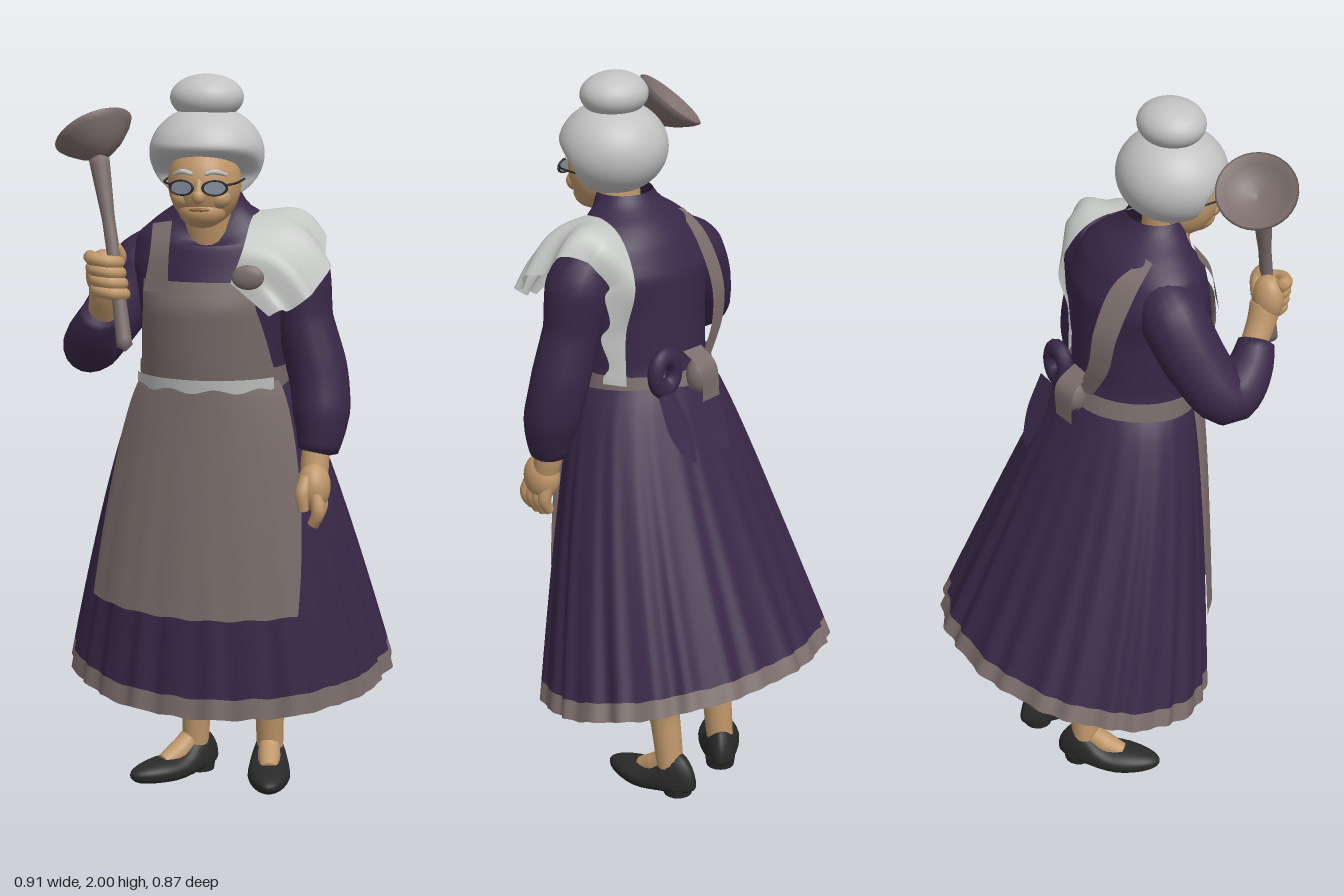
import * as THREE from 'three';
import { mergeVertices } from 'three/addons/utils/BufferGeometryUtils.js';

const V = (p) => new THREE.Vector3(...p);
const { lerp, smoothstep } = THREE.MathUtils;
const TAU = Math.PI * 2;

export function createModel() {
  const root = new THREE.Group();
  root.name = 'oldLadyWithLadle';
  const paint = (name, color, side = THREE.FrontSide) => {
    const m = new THREE.MeshStandardMaterial({ color, side });
    m.name = name;
    return m;
  };
  const purple = paint('purpleDress', 0x392848, THREE.DoubleSide);
  const taupe = paint('taupeCloth', 0x7c6e6c, THREE.DoubleSide);
  const white = paint('paleFrill', 0xc4c6c4, THREE.DoubleSide);
  const skin = paint('skin', 0xbf976a);
  const hairGrey = paint('greyHair', 0xc2c2c2);
  const black = paint('blackLeather', 0x2a2a2a);
  const lens = paint('lens', 0x828e9a, THREE.DoubleSide);
  const lip = paint('lip', 0x8f6648);

  const add = (name, geo, mat, parent = root) => {
    const m = new THREE.Mesh(geo, mat);
    m.name = name;
    parent.add(m);
    return m;
  };
  const smooth = (geo) => {
    geo.deleteAttribute('uv');
    geo.deleteAttribute('normal');
    const g = mergeVertices(geo, 1e-5);
    g.computeVertexNormals();
    return g;
  };
  // Ellipsoid
  const blob = (name, pos, size, mat, parent = root) => {
    const m = add(name, new THREE.SphereGeometry(1, 28, 20), mat, parent);
    m.position.set(...pos);
    m.scale.set(...size);
    return m;
  };
  // Surface from a rule (u, v) -> [x, y, z]
  const surf = (name, fn, nu, nv, mat) => {
    const pos = [], idx = [];
    for (let j = 0; j <= nv; j++) for (let i = 0; i <= nu; i++) pos.push(...fn(i / nu, j / nv));
    for (let j = 0; j < nv; j++) for (let i = 0; i < nu; i++) {
      const a = j * (nu + 1) + i, b = a + nu + 1;
      idx.push(a, b, a + 1, a + 1, b, b + 1);
    }
    const g = new THREE.BufferGeometry();
    g.setAttribute('position', new THREE.Float32BufferAttribute(pos, 3));
    g.setIndex(idx);
    return add(name, smooth(g), mat);
  };
  // Tube along points with a radius at each point and closed ends
  const limb = (name, pts, radii, mat, parent = root, sides = 18) => {
    const n = 32, curve = new THREE.CatmullRomCurve3(pts.map(V));
    const g = new THREE.TubeGeometry(curve, n, 1, sides), p = g.attributes.position, q = new THREE.Vector3();
    for (let i = 0; i <= n; i++) {
      const c = curve.getPointAt(i / n), f = (i / n) * (radii.length - 1);
      const k = Math.min(Math.floor(f), radii.length - 2);
      const r = lerp(radii[k], radii[k + 1], f - k) * (i === 0 || i === n ? 0.02 : 1);
      for (let j = 0; j <= sides; j++) {
        const o = i * (sides + 1) + j;
        q.fromBufferAttribute(p, o).sub(c).multiplyScalar(r).add(c);
        p.setXYZ(o, q.x, q.y, q.z);
      }
    }
    return add(name, smooth(g), mat, parent);
  };
  // Cloth strip between two edges, with an arched middle and optional ruffles
  const ribbon = (name, inner, outer, mat, bulge = 0, ruffle = 0) => {
    const a = new THREE.CatmullRomCurve3(inner.map(V)), b = new THREE.CatmullRomCurve3(outer.map(V));
    return surf(name, (u, v) => {
      const p = a.getPoint(v).lerp(b.getPoint(v), u);
      const s = Math.sin(u * Math.PI) * bulge * Math.sin(Math.PI * Math.min(1, v * 1.4));
      const w = u * ruffle * Math.sin(v * 46);
      return [p.x + s * 0.5 + w, p.y + s + w, p.z + w * 0.6];
    }, 10, 60, mat);
  };

  // Skirt: pleated, long at the front and raised at the back
  const skirt = (t, a, amp, off = 0) => {
    const rx = 0.19 + 0.26 * t ** 0.75 + off, zf = 0.262 + off, zb = lerp(-0.08, -0.43, t) - off;
    const rz = (zf - zb) / 2, cz = (zf + zb) / 2;
    const k = 1 + amp * t * (Math.cos(25 * a) + 0.5 * Math.cos(11 * a + 1) + 0.4 * Math.cos(38 * a));
    return [-0.01 * (1 - t) + Math.sin(a) * rx * k,
      1.2 - 0.85 * t - 0.22 * t * rz * Math.cos(a) + 0.004 * t * Math.cos(25 * a), cz + Math.cos(a) * rz * k];
  };
  surf('skirt', (u, v) => skirt(v * 0.94, u * TAU, 0.016), 240, 24, purple);
  surf('hemTrim', (u, v) => skirt(0.94 + v * 0.06, u * TAU, 0.016), 240, 2, taupe);
  surf('apronSkirt', (u, v) => skirt(v * 0.7,
    lerp(lerp(-1.15, -1.0, v), lerp(1.0, 0.6, v), u), 0.006, 0.02), 40, 24, taupe);

  // Bodice: stacked ellipses [y, centre z, half width, half depth]
  const rows = [[1.16, 0.095, 0.19, 0.175], [1.25, 0.115, 0.188, 0.172], [1.4, 0.13, 0.2, 0.18], [1.5, 0.12, 0.225, 0.165],
    [1.58, 0.13, 0.2, 0.14], [1.63, 0.14, 0.14, 0.112], [1.66, 0.16, 0.095, 0.085], [1.69, 0.17, 0.08, 0.075]];
  const torso = (y, a, off = 0) => {
    let k = 0;
    while (k < rows.length - 2 && y > rows[k + 1][0]) k++;
    const A = rows[k], B = rows[k + 1], f = (y - A[0]) / (B[0] - A[0]);
    const [cz, rx, rz] = [1, 2, 3].map((i) => lerp(A[i], B[i], f));
    // neckline opens in a V at the front
    const dip = Math.max(0, y - 1.56) * Math.max(0, Math.cos(a)) ** 4;
    return [-0.015 + Math.sin(a) * (rx + off), y - dip, cz + Math.cos(a) * (rz + off)];
  };
  surf('bodice', (u, v) => torso(lerp(1.69, 1.16, v), u * TAU), 48, 30, purple);
  surf('apronBib', (u, v) => torso(lerp(1.47, 1.2, v),
    lerp(lerp(-0.82, -1.25, v), lerp(0.53, 1.1, v), u), 0.012), 30, 14, taupe);
  surf('waistTie', (u, v) => torso(lerp(1.235, 1.175, v), lerp(0.9, 5.1, u), 0.012), 40, 3, taupe);
  surf('waistBand', (u, v) => torso(lerp(1.212, 1.18 + 0.006 * Math.sin(u * 23), v),
    lerp(-1.2, 0.95, u), 0.024), 40, 3, white);
  ribbon('apronStrapFront',
    [[-0.11, 1.44, 0.3], [-0.11, 1.54, 0.28], [-0.11, 1.62, 0.225]],
    [[-0.18, 1.44, 0.265], [-0.165, 1.54, 0.25], [-0.165, 1.61, 0.205]], taupe);
  ribbon('apronStrapBack',
    [[-0.12, 1.63, 0.07], [-0.1, 1.57, -0.015], [-0.1, 1.45, -0.075], [-0.09, 1.35, -0.085], [-0.04, 1.24, -0.085]],
    [[-0.145, 1.625, 0.075], [-0.165, 1.57, 0.015], [-0.17, 1.45, -0.05], [-0.155, 1.35, -0.065], [-0.09, 1.24, -0.075]], taupe);
  ribbon('shoulderFrill',
    [[0.055, 1.47, 0.305], [0.085, 1.55, 0.305], [0.1, 1.635, 0.19], [0.125, 1.62, 0.05], [0.145, 1.5, -0.03], [0.15, 1.36, 0.0], [0.15, 1.21, 0.0]],
    [[0.16, 1.39, 0.335], [0.25, 1.43, 0.31], [0.3, 1.51, 0.2], [0.25, 1.58, 0.07], [0.2, 1.5, 0.02], [0.2, 1.36, 0.03], [0.185, 1.21, 0.04]],
    white, 0.036, 0.009);
  blob('frillKnot', [0.105, 1.49, 0.335], [0.042, 0.032, 0.015], taupe);

  // Bow at the back of the waist
  blob('bowKnot', [-0.03, 1.22, -0.095], [0.035, 0.05, 0.035], taupe);
  const loop = add('bowLoop', new THREE.TorusGeometry(0.036, 0.022, 12, 24), purple);
  loop.position.set(0.08, 1.25, -0.075);
  loop.scale.set(1, 1.25, 1);
  ribbon('bowTailTaupe', [[-0.065, 1.29, -0.07], [-0.07, 1.25, -0.12], [-0.075, 1.16, -0.13]],
    [[0.005, 1.29, -0.07], [0, 1.25, -0.13], [-0.005, 1.16, -0.135]], taupe);
  for (const x of [-0.03, 0.1]) ribbon('bowTail', [[x - 0.03, 1.2, -0.1], [x - 0.05, 1.1, -0.145], [x - 0.03, 1.02, -0.185]],
    [[x + 0.03, 1.2, -0.1], [x + 0.03, 1.1, -0.145], [x, 1.03, -0.18]], purple);

  // Sleeves
  limb('rightSleeve', [[-0.11, 1.55, 0.11], [-0.19, 1.5, 0.1], [-0.28, 1.365, 0.135], [-0.335, 1.28, 0.19], [-0.315, 1.33, 0.27], [-0.28, 1.4, 0.32]],
    [0.06, 0.09, 0.086, 0.078, 0.067, 0.045], purple);
  limb('leftSleeve', [[0.12, 1.56, 0.11], [0.19, 1.51, 0.12], [0.228, 1.35, 0.13], [0.268, 1.2, 0.14], [0.278, 1.08, 0.165], [0.268, 0.99, 0.18]],
    [0.06, 0.09, 0.077, 0.08, 0.077, 0.05], purple);

  // Left hand, hanging
  limb('leftWrist', [[0.268, 1.03, 0.18], [0.265, 0.98, 0.19], [0.265, 0.92, 0.205]], [0.037, 0.038, 0.035], skin);
  blob('leftPalm', [0.265, 0.92, 0.215], [0.045, 0.065, 0.055], skin);
  for (let i = 0; i < 4; i++) limb('leftFinger', [[0.272, 0.91, 0.25 - i * 0.023], [0.282, 0.86, 0.26 - i * 0.024], [0.265, 0.81 + Math.abs(i - 1.5) * 0.008, 0.252 - i * 0.022]],
    [0.018, 0.019, 0.014], skin, root, 10);
  limb('leftThumb', [[0.25, 0.95, 0.24], [0.24, 0.91, 0.265], [0.244, 0.86, 0.268]], [0.02, 0.019, 0.014], skin, root, 10);

  // Right hand, gripping the ladle
  limb('rightWrist', [[-0.285, 1.37, 0.3], [-0.272, 1.43, 0.335], [-0.262, 1.48, 0.355]], [0.035, 0.038, 0.042], skin);
  blob('rightPalm', [-0.265, 1.495, 0.358], [0.048, 0.065, 0.04], skin);
  for (let i = 0; i < 4; i++) {
    const y = 1.452 + i * 0.027, x = -0.25 - i * 0.005;
    limb('rightFinger', [[x - 0.035, y + 0.008, 0.368], [x - 0.02, y + 0.006, 0.4], [x + 0.018, y, 0.408], [x + 0.042, y - 0.004, 0.385], [x + 0.02, y - 0.006, 0.36]],
      [0.018, 0.018, 0.018, 0.017, 0.014], skin, root, 10);
  }
  limb('rightThumb', [[-0.25, 1.5, 0.34], [-0.225, 1.54, 0.35], [-0.232, 1.57, 0.365]], [0.022, 0.018, 0.013], skin, root, 10);

  // Ladle: handle and shallow tilted bowl
  limb('ladleHandle', [[-0.198, 1.305, 0.425], [-0.203, 1.33, 0.417], [-0.238, 1.55, 0.37], [-0.287, 1.8, 0.31]], [0.021, 0.018, 0.017, 0.028], taupe);
  const bowlProfile = [[0.001, -0.07], [0.03, -0.066], [0.065, -0.042], [0.095, -0.012], [0.106, 0.004], [0.1, 0.008], [0.08, -0.01], [0.045, -0.03], [0.001, -0.04]];
  const bowl = add('ladleBowl', new THREE.LatheGeometry(bowlProfile.map((p) => new THREE.Vector2(...p)), 36), taupe);
  bowl.position.set(-0.304, 1.85, 0.28);
  bowl.quaternion.setFromUnitVectors(V([0, 1, 0]), V([-0.45, 0.77, -0.42]).normalize());

  // Head
  const head = new THREE.Group();
  head.name = 'head';
  root.add(head);
  limb('neck', [[-0.018, 1.5, 0.17], [-0.018, 1.6, 0.195], [-0.018, 1.7, 0.21]], [0.065, 0.065, 0.068], skin, head);
  blob('face', [-0.02, 1.725, 0.248], [0.095, 0.115, 0.105], skin, head);
  blob('jaw', [-0.02, 1.655, 0.285], [0.062, 0.045, 0.058], skin, head);
  blob('nose', [-0.02, 1.697, 0.352], [0.017, 0.02, 0.018], skin, head);
  limb('noseBridge', [[-0.02, 1.745, 0.34], [-0.02, 1.72, 0.35], [-0.02, 1.697, 0.356]], [0.01, 0.011, 0.013], skin, head, 10);
  blob('mouth', [-0.02, 1.662, 0.338], [0.027, 0.005, 0.008], lip, head);
  const hairGeo = new THREE.SphereGeometry(1, 48, 48);
  const hp = hairGeo.attributes.position;
  for (let i = 0; i < hp.count; i++) {
    // sweep the hair back from the face along a slanting hairline
    const x = hp.getX(i), z = hp.getZ(i), f = 1 - smoothstep(hp.getY(i), -0.5, 0.24);
    if (z > 0) hp.setZ(i, z * (1 - (1 - 0.12 * Math.abs(x)) * f));
  }
  const hair = add('hair', smooth(hairGeo), hairGrey, head);
  hair.position.set(-0.02, 1.795, 0.215);
  hair.scale.set(0.15, 0.125, 0.147);
  blob('hairBun', [-0.02, 1.94, 0.21], [0.096, 0.06, 0.088], hairGrey, head);

  // Cheeks, brows and spectacles, mirrored
  for (const s of [-1, 1]) {
    const x = (d) => -0.02 + s * d;
    blob('cheek', [x(0.045), 1.69, 0.308], [0.032, 0.028, 0.03], skin, head);
    limb('brow', [[x(0.015), 1.754, 0.349], [x(0.04), 1.76, 0.344], [x(0.07), 1.75, 0.322]], [0.005, 0.007, 0.004], hairGrey, head, 8);
    const rim = add('spectacleRim', new THREE.TorusGeometry(0.031, 0.0035, 8, 28), black, head);
    const glass = add('spectacleLens', new THREE.CircleGeometry(0.03, 28), lens, head);
    for (const m of [rim, glass]) {
      m.position.set(x(0.043), 1.72, 0.358);
      m.scale.y = 0.6;
      m.rotation.y = s * 0.2;
    }
    limb('spectacleArm', [[x(0.07), 1.727, 0.352], [x(0.092), 1.73, 0.32], [x(0.1), 1.732, 0.22]], [0.003, 0.003, 0.003], black, head, 6);
  }

  // Legs and shoes
  const foot = (name, legPts, pos, turn) => {
    limb(name + 'Leg', legPts, [0.08, 0.068, 0.042, 0.037], skin);
    const g = new THREE.Group();
    g.name = name + 'Shoe';
    g.position.set(...pos);
    g.rotation.y = turn;
    root.add(g);
    const geo = new THREE.SphereGeometry(1, 28, 24), p = geo.attributes.position;
    for (let i = 0; i < p.count; i++) {
      const x = p.getX(i), y = p.getY(i), z = p.getZ(i);
      // low vamp, high heel counter, flat sole
      const h = 0.035 + 0.085 * smoothstep(-z, 0.0, 0.75), lift = 0.01 * smoothstep(-z, -0.2, 0.5);
      p.setXYZ(i, x * (0.062 - 0.009 * Math.abs(z - 0.3)),
        y > 0 ? 0.025 + lift + y * h : Math.max(y * 0.04, -0.02) + 0.022 + lift, z * 0.15);
    }
    add('shoeUpper', smooth(geo), black, g);
    add('shoeHeel', new THREE.CylinderGeometry(0.044, 0.04, 0.03, 16), black, g).position.set(0, 0.015, -0.09);
    limb('instep', [[0, 0.1, -0.055], [0, 0.07, -0.02], [0, 0.04, 0.04]], [0.03, 0.032, 0.025], skin, g);
  };
  foot('left', [[0.11, 0.55, -0.05], [0.112, 0.34, -0.085], [0.107, 0.2, -0.105], [0.106, 0.05, -0.125]], [0.112, 0, -0.057], 0.12);
  foot('right', [[-0.095, 0.55, -0.06], [-0.1, 0.34, -0.09], [-0.103, 0.2, -0.105], [-0.11, 0.05, -0.115]], [-0.16, 0, -0.062], -0.78);

  return root;
}
